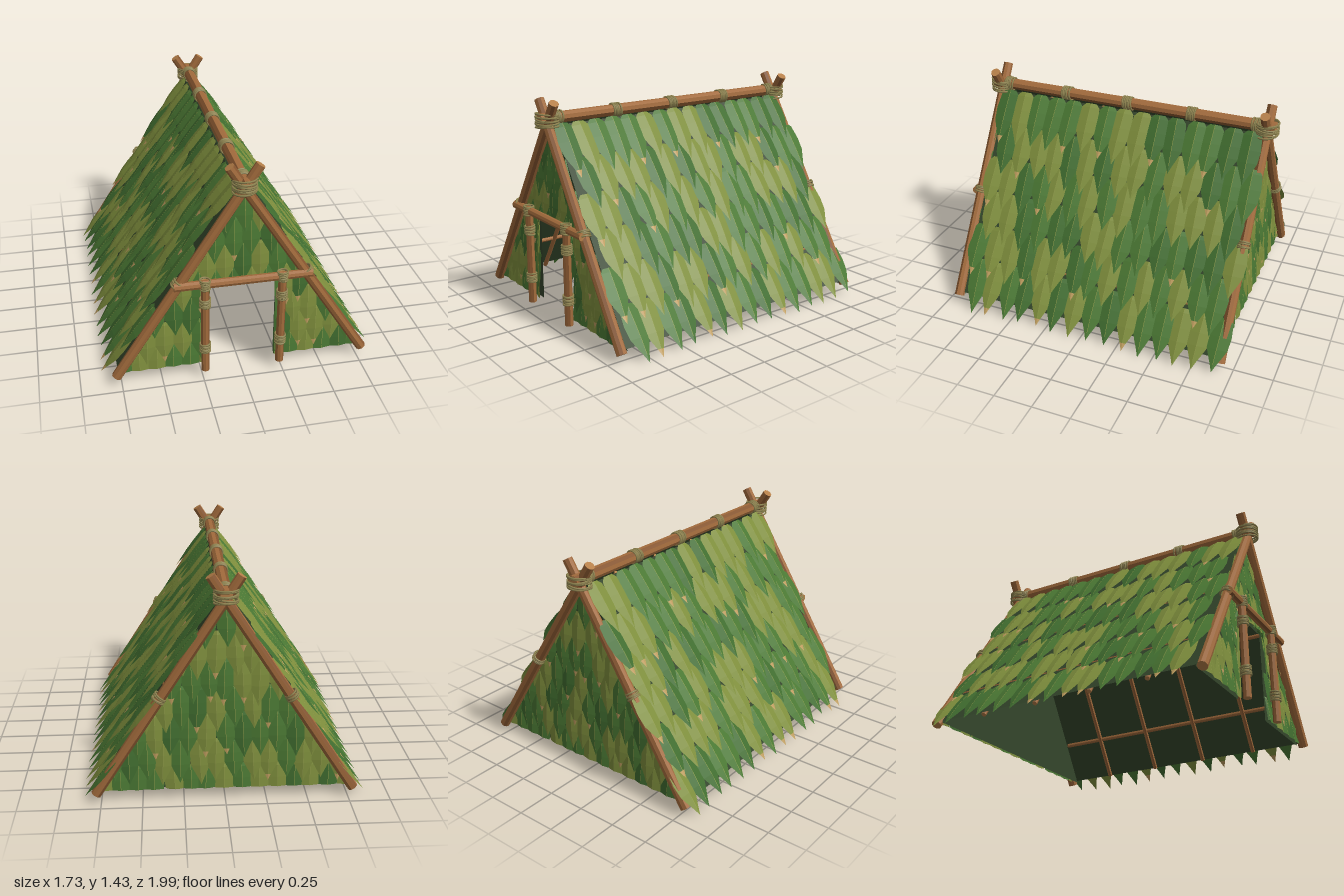
import * as THREE from 'three';

const mat = (name, color, extra = {}) => {
  const m = new THREE.MeshStandardMaterial({ color, ...extra });
  m.name = name;
  return m;
};
const both = { side: THREE.DoubleSide };

export function createModel() {
  const root = new THREE.Group();
  root.name = 'leafShelter';
  const bark = mat('bark', 0xa26b3c);
  const barkDark = mat('darkBark', 0x85552f);
  const cutWood = mat('cutWood', 0xb57f49);
  const cord = mat('cord', 0x8f8450);
  const lining = mat('lining', 0x34462b, both);
  const foliage = {
    green: mat('leafGreen', 0x4b7934, both),
    olive: mat('leafOlive', 0x7f8f3d, both),
    deep: mat('leafDeepGreen', 0x416e30, both),
    rib: mat('leafRib', 0x8f9a4a, both),
    tip: mat('dryTip', 0xbd9c5e, both),
  };
  const V = (x, y, z) => new THREE.Vector3(x, y, z);

  let seed = 11;
  const rnd = () => (seed = (seed * 16807) % 2147483647) / 2147483647;

  // Faceted pole with a few darker bark strips and pale cut ends
  function pole(name, a, b, r) {
    const n = 9;
    const g = new THREE.CylinderGeometry(r, r * 1.05, a.distanceTo(b), n);
    g.clearGroups();
    for (let i = 0; i < n; i++) g.addGroup(i * 6, 6, i % 4 === 1 ? 1 : 0);
    g.addGroup(n * 6, n * 6, 2);
    const flat = g.toNonIndexed();
    flat.computeVertexNormals();
    const m = new THREE.Mesh(flat, [bark, barkDark, cutWood]);
    m.name = name;
    m.position.copy(a).lerp(b, 0.5);
    m.quaternion.setFromUnitVectors(V(0, 1, 0), b.clone().sub(a).normalize());
    root.add(m);
  }

  // Coil of slightly uneven cord rings around an axis
  function lashing(name, pos, axis, r, rings = 6, tube = 0.006) {
    const grp = new THREE.Group();
    grp.name = name;
    for (let i = 0; i < rings; i++) {
      const ring = new THREE.Mesh(new THREE.TorusGeometry(r, tube, 6, 18), cord);
      ring.name = 'cordRing';
      ring.position.z = (i - (rings - 1) / 2) * tube * 1.8;
      ring.rotation.set((rnd() - 0.5) * 0.25, (rnd() - 0.5) * 0.25, 0);
      grp.add(ring);
    }
    grp.position.copy(pos);
    grp.quaternion.setFromUnitVectors(V(0, 0, 1), axis.clone().normalize());
    root.add(grp);
  }

  // End frames: crossed poles with apex and side lashings
  for (const z of [0.92, -0.92]) {
    for (const k of [1, -1]) {
      const foot = V(k * 0.78, 0.05, z), top = V(-k * 0.09, 1.405, z);
      pole('framePole', foot, top, 0.031);
      lashing('sideLashing', V(k * 0.39, 0.67, z), top.clone().sub(foot), 0.038, 4);
    }
    lashing('apexLashing', V(0, 1.288, z), V(0, 1, 0), 0.07, 8);
  }

  // Ridge pole
  pole('ridgePole', V(0, 1.3, -0.975), V(0, 1.3, 0.975), 0.036);
  for (const z of [-0.86, -0.43, 0, 0.43, 0.86]) {
    lashing('ridgeLashing', V(0, 1.3, z), V(0, 0, 1), 0.041);
  }

  // Door posts and lintel
  pole('lintel', V(-0.42, 0.667, 0.945), V(0.42, 0.667, 0.945), 0.026);
  for (const k of [1, -1]) {
    pole('doorPost', V(k * 0.235, 0.045, 0.948), V(k * 0.235, 0.69, 0.948), 0.025);
    for (const y of [0.67, 0.54, 0.215]) {
      lashing('postLashing', V(k * 0.235, y, 0.948), V(0, 1, 0), 0.031);
    }
  }

  // Surface frames: u across, s down the surface, w outward
  const AX = 0.03, AY = 1.26, DX = 0.528, DY = 0.849;
  const roofMap = k => (u, s, w) => V(k * (AX + DX * s + DY * w), AY - DY * s + DX * w, u);
  const halfWidth = y => AX + (AY - y) * DX / DY - 0.001;
  const gableMap = f => (u, s, w) => V(f * u, AY - s, f * (0.878 + w));

  // Triangles are gathered per colour, then turned into one mesh each
  let buckets;
  const triArea = new THREE.Triangle();
  function tri(key, a, b, c) {
    triArea.set(a, b, c);
    if (triArea.getArea() < 1e-7) return;
    for (const p of [a, b, c]) (buckets[key] ??= []).push(p.x, p.y, p.z);
  }
  function quad(key, a, b, c, d) {
    tri(key, a, b, c);
    tri(key, a, c, d);
  }
  function flush(name) {
    const grp = new THREE.Group();
    grp.name = name;
    for (const [key, list] of Object.entries(buckets)) {
      const g = new THREE.BufferGeometry();
      g.setAttribute('position', new THREE.Float32BufferAttribute(list, 3));
      g.computeVertexNormals();
      const m = new THREE.Mesh(g, foliage[key]);
      m.name = name + '_' + key;
      grp.add(m);
    }
    root.add(grp);
  }

  // One leaf folded along its midrib: rounded top, long pointed tip, sometimes dry
  const profile = [[0, 0.5], [0.08, 0.85], [0.35, 1], [0.58, 0.9], [0.73, 0.58], [0.86, 0.28], [1, 0]];
  function leaf(map, cu, top, len, width, lift, clamp = (u, s) => [u, s]) {
    const pick = rnd();
    const color = pick < 0.38 ? 'green' : pick < 0.82 ? 'olive' : 'deep';
    const dryTip = rnd() < 0.25, lean = (rnd() - 0.5) * 0.03;
    const rows = profile.map(([t, h]) => {
      const w = 0.006 + lift * t, c = cu + lean * t;
      const at = (du, dw) => {
        const [u, s] = clamp(c + du, top + len * t, cu);
        return map(u, s, w + dw);
      };
      const e = h * width / 2, fold = 0.012 * h;
      return [at(-e, 0), at(0, fold), at(e, 0), at(-0.0015, fold + 0.0015), at(0.0015, fold + 0.0015)];
    });
    for (let i = 0; i + 1 < rows.length; i++) {
      const a = rows[i], b = rows[i + 1];
      const key = dryTip && i === rows.length - 2 ? 'tip' : color;
      quad(key, a[0], b[0], b[1], a[1]);
      quad(key, a[1], b[1], b[2], a[2]);
      if (i < rows.length - 2) quad('rib', a[3], b[3], b[4], a[4]);
    }
  }

  // Roof sides: lining, inner rafters and purlins, six rows of leaves
  for (const k of [1, -1]) {
    const map = roofMap(k);
    const panel = new THREE.BufferGeometry().setFromPoints([
      map(0.885, 0, 0), map(0.885, 1.4, 0), map(-0.885, 1.4, 0), map(-0.885, 0, 0)]);
    panel.setIndex(k > 0 ? [0, 1, 2, 0, 2, 3] : [0, 2, 1, 0, 3, 2]);
    panel.computeVertexNormals();
    const m = new THREE.Mesh(panel, lining);
    m.name = 'roofLining';
    root.add(m);

    for (const z of [-0.57, -0.19, 0.19, 0.57]) pole('rafter', map(z, 0.03, -0.02), map(z, 1.4, -0.02), 0.015);
    for (const s of [0.63, 1.12]) pole('purlin', map(-0.86, s, -0.012), map(0.86, s, -0.012), 0.014);

    buckets = {};
    for (let row = 0; row < 6; row++) {
      for (let i = 0; i < 15; i++) {
        const u = 0.84 - i * 0.12 - (row % 2) * 0.05 + (rnd() - 0.5) * 0.02;
        leaf(map, u, row * 0.231 - 0.005, 0.35 + (rnd() - 0.5) * 0.04, 0.144, 0.036);
      }
    }
    flush('roofLeaves');
  }

  // Gable ends: the front one is cut out for the doorway
  const DOOR = 0.21, HEAD = 0.65, BASE = 0.06;
  for (const f of [1, -1]) {
    const hw = halfWidth(BASE), tw = halfWidth(AY);
    const pts = [[tw, AY], [-tw, AY], [-hw, BASE]];
    if (f > 0) pts.push([-DOOR, BASE], [-DOOR, HEAD], [DOOR, HEAD], [DOOR, BASE]);
    pts.push([hw, BASE]);
    const shape = new THREE.Shape(pts.map(p => new THREE.Vector2(...p)));
    const wall = new THREE.Mesh(new THREE.ShapeGeometry(shape), lining);
    wall.name = f > 0 ? 'frontWall' : 'backWall';
    wall.position.z = f * 0.878;
    if (f < 0) wall.rotation.y = Math.PI;
    root.add(wall);

    // Leaves are trimmed to the wall outline
    const trim = (u, s, cu) => {
      let y = Math.max(BASE, AY - s);
      if (f > 0 && y < HEAD && Math.abs(u) < DOOR) {
        if (Math.abs(cu) < DOOR) y = HEAD;
        else u = Math.sign(cu) * DOOR;
      }
      const lim = halfWidth(y);
      return [THREE.MathUtils.clamp(u, -lim, lim), AY - y];
    };
    buckets = {};
    for (let row = 0; row < 7; row++) {
      const top = 0.02 + row * 0.17;
      for (let i = -8; i <= 8; i++) {
        const u = (i + (row % 2) * 0.5) * 0.105 + (rnd() - 0.5) * 0.015;
        if (Math.abs(u) > halfWidth(AY - top - 0.2) + 0.04) continue;
        if (f > 0 && Math.abs(u) < DOOR - 0.03 && AY - top < HEAD + 0.03) continue;
        leaf(gableMap(f), u, top, 0.285 + (rnd() - 0.5) * 0.04, 0.128, 0.024, trim);
      }
    }
    flush(f > 0 ? 'frontLeaves' : 'backLeaves');
  }
  return root;
}
